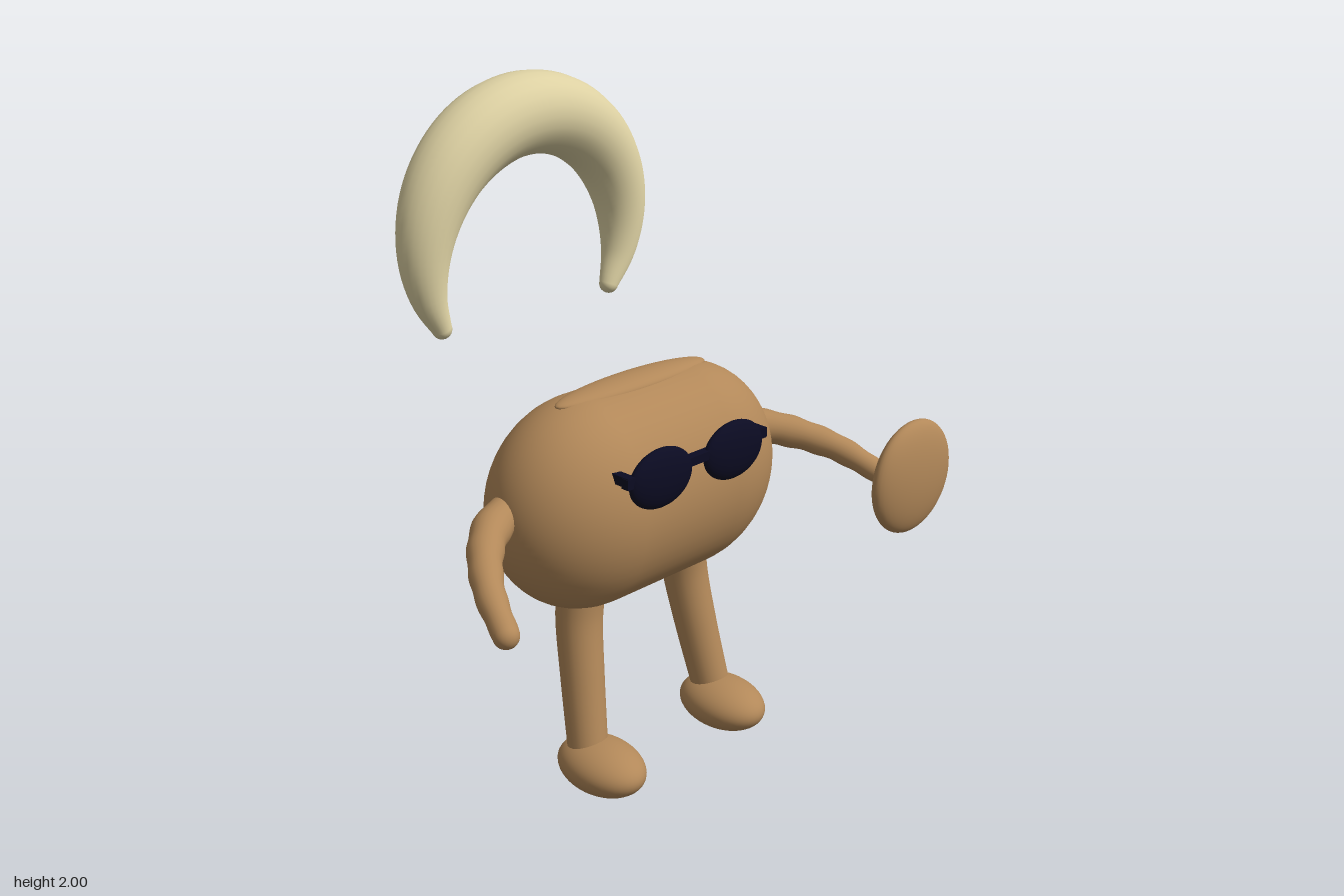
import * as THREE from 'three';

const CX = -0.085; // the figure's own middle line

const brown = new THREE.MeshStandardMaterial({ color: 0xb28859 });
brown.name = 'brown skin';
const cream = new THREE.MeshStandardMaterial({ color: 0xdcd0a2 });
cream.name = 'cream horn';
const navy = new THREE.MeshStandardMaterial({ color: 0x0b0b22 });
navy.name = 'dark navy glasses';

function part(parent, name, geometry, material, x = 0, y = 0, z = 0) {
  const mesh = new THREE.Mesh(geometry, material);
  mesh.name = name;
  mesh.position.set(x, y, z);
  parent.add(mesh);
  return mesh;
}

function ellipsoid(rx, ry, rz) {
  return new THREE.SphereGeometry(1, 40, 28).scale(rx, ry, rz);
}

// Tube whose radius follows radiusAt(t), closed by round ends
function limb(parent, name, points, radiusAt, material, steps = 32) {
  const group = new THREE.Group();
  group.name = name;
  const curve = new THREE.CatmullRomCurve3(points);
  const sides = 24;
  const geometry = new THREE.TubeGeometry(curve, steps, 1, sides);
  const pos = geometry.attributes.position;
  const v = new THREE.Vector3();
  for (let i = 0; i <= steps; i++) {
    const centre = curve.getPointAt(i / steps);
    for (let j = 0; j <= sides; j++) {
      const k = i * (sides + 1) + j;
      v.fromBufferAttribute(pos, k).sub(centre).multiplyScalar(radiusAt(i / steps)).add(centre);
      pos.setXYZ(k, v.x, v.y, v.z);
    }
  }
  part(group, name + 'Tube', geometry, material);
  for (const t of [0, 1]) {
    const p = curve.getPointAt(t);
    part(group, name + 'End', new THREE.SphereGeometry(radiusAt(t), 20, 14), material, p.x, p.y, p.z);
  }
  parent.add(group);
}

export function createModel() {
  const model = new THREE.Group();
  model.name = 'hornedCreature';

  // Wide rounded body with a flat lid on top
  const body = new THREE.CapsuleGeometry(0.316, 0.378, 20, 48, 8).rotateZ(Math.PI / 2).scale(1, 1, 0.785);
  part(model, 'body', body, brown, CX, 0.867, 0.043);
  part(model, 'lid', ellipsoid(0.293, 0.03, 0.063), brown, CX, 1.17, 0.039);

  // Limbs, mirrored about the middle line
  for (const s of [-1, 1]) {
    const side = s > 0 ? 'left' : 'right';
    const at = (x, y, z) => new THREE.Vector3(CX + s * x, y, z);

    limb(model, side + 'Arm', [
      at(0.44, 0.905, 0.025), at(0.53, 0.895, 0.045), at(0.62, 0.87, 0.115),
      at(0.705, 0.825, 0.23), at(0.757, 0.765, 0.355),
    ], t => (0.06 - 0.025 * t) * (1 + 0.035 * Math.sin(t * 34)), brown, 56);

    limb(model, side + 'Leg', [
      at(0.21, 0.6, 0.04), at(0.222, 0.5, 0.042), at(0.24, 0.33, 0.072), at(0.263, 0.13, 0.115),
    ], t => 0.072 - 0.012 * t, brown);

    part(model, side + 'Foot', ellipsoid(0.108, 0.077, 0.152), brown, CX + s * 0.26, 0.08, 0.172);
  }

  // Round disc in front of the left hand
  part(model, 'handDisc', ellipsoid(0.182, 0.182, 0.054), brown, 0.693, 0.777, 0.467);

  // Crescent horn floating above, thick at the top and thin at both tips
  const reach = 2.1;
  const arc = [];
  for (let i = 0; i <= 16; i++) {
    const a = reach * (i / 8 - 1);
    arc.push(new THREE.Vector3(CX + 0.383 * Math.sin(a), 1.497 + 0.383 * Math.cos(a), -0.403));
  }
  limb(model, 'crescentHorn', arc, t => 0.12 - 0.09 * Math.pow(Math.abs(2 * t - 1), 2.1), cream, 72);

  // Sunglasses
  const glasses = new THREE.Group();
  glasses.name = 'sunglasses';
  for (const s of [-1, 1]) {
    const side = s > 0 ? 'left' : 'right';
    part(glasses, side + 'Lens', ellipsoid(0.118, 0.087, 0.034), navy, CX + s * 0.146, 0.997, 0.298);
    part(glasses, side + 'Hinge', new THREE.BoxGeometry(0.05, 0.03, 0.025), navy, CX + s * 0.255, 1.015, 0.295);
    part(glasses, side + 'Temple', new THREE.BoxGeometry(0.027, 0.028, 0.075), navy, CX + s * 0.264, 1.018, 0.268);
  }
  part(glasses, 'bridge', new THREE.BoxGeometry(0.1, 0.026, 0.028), navy, CX, 1.013, 0.295);
  model.add(glasses);

  return model;
}
